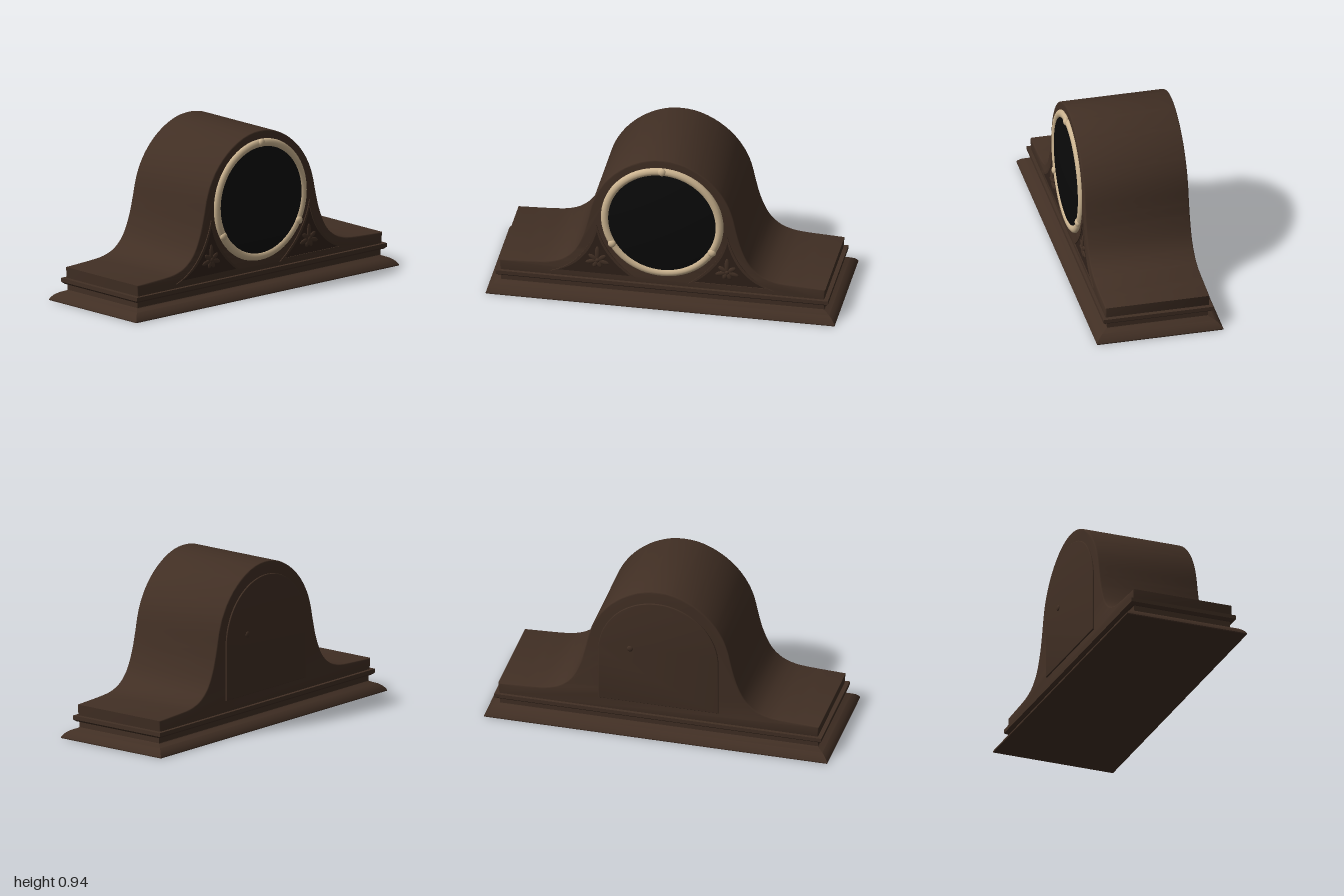
import * as THREE from 'three';
import { toCreasedNormals } from 'three/addons/utils/BufferGeometryUtils.js';

const material = (name, color) => {
  const m = new THREE.MeshStandardMaterial({ color });
  m.name = name;
  return m;
};

// Plate between two depths, with a small softened edge kept inside the outline
function plate(shape, z0, z1, bevel = 0) {
  const g = new THREE.ExtrudeGeometry(shape, {
    depth: z1 - z0 - 2 * bevel, curveSegments: 24,
    bevelEnabled: bevel > 0, bevelThickness: bevel, bevelSize: bevel, bevelOffset: -bevel, bevelSegments: 3,
  });
  g.translate(0, 0, z0 + bevel);
  return toCreasedNormals(g, 0.6);
}

// Rectangular moulding: each profile entry is [half depth, height]
function moulding(profile, extra) {
  const pos = [];
  const ring = ([d, y]) => [[1, 1], [1, -1], [-1, -1], [-1, 1]].map(([x, z]) => [x * (d + extra), y, z * d]);
  const quad = (a, b, c, d) => pos.push(...a, ...b, ...c, ...a, ...c, ...d);
  const rings = profile.map(ring);
  for (let k = 0; k < rings.length - 1; k++) {
    for (let i = 0; i < 4; i++) {
      const j = (i + 1) % 4;
      quad(rings[k][i], rings[k][j], rings[k + 1][j], rings[k + 1][i]);
    }
  }
  quad(...rings[rings.length - 1]);
  quad(...rings[0].slice().reverse());
  const g = new THREE.BufferGeometry();
  g.setAttribute('position', new THREE.Float32BufferAttribute(pos, 3));
  return toCreasedNormals(g, 0.6);
}

// Hump-shaped case outline
function caseShape() {
  const half = [[0, 0.94], [0.09, 0.929], [0.18, 0.893], [0.26, 0.838], [0.325, 0.77], [0.375, 0.69], [0.405, 0.61],
    [0.428, 0.51], [0.455, 0.41], [0.5, 0.31], [0.56, 0.248], [0.63, 0.217], [0.72, 0.204], [0.935, 0.194]];
  const pts = [...half.slice(1).reverse().map(([x, y]) => [-x, y]), ...half];
  const curve = new THREE.SplineCurve(pts.map(([x, y]) => new THREE.Vector2(x, y)));
  return new THREE.Shape([new THREE.Vector2(-0.928, 0.12), ...curve.getPoints(110), new THREE.Vector2(0.928, 0.12)]);
}

// Curved triangle beside the dial, scaled about its middle
function spandrel(s, k, Type = THREE.Shape) {
  const p = (x, y) => [s * (0.37 + (x - 0.37) * k), 0.24 + (y - 0.24) * k];
  const path = new Type();
  path.moveTo(...p(0.15, 0.155));
  path.lineTo(...p(0.64, 0.155));
  path.quadraticCurveTo(...p(0.44, 0.225), ...p(0.375, 0.48));
  path.quadraticCurveTo(...p(0.3375, 0.295), ...p(0.15, 0.155));
  return path;
}

export function createModel() {
  const wood = material('dark walnut', 0x412f24);
  const carved = material('shaded walnut', 0x30221a);
  const cream = material('cream bezel', 0xcdb591);
  const black = material('black dial', 0x0a0a0a);

  const model = new THREE.Group();
  model.name = 'mantelClock';
  const add = (name, geometry, mat, parent = model) => {
    const mesh = new THREE.Mesh(geometry, mat);
    mesh.name = name;
    parent.add(mesh);
    return mesh;
  };

  // Plinth and case
  add('plinth', moulding([[0.365, 0], [0.366, 0.006], [0.36, 0.017], [0.347, 0.032], [0.327, 0.046], [0.295, 0.059],
    [0.292, 0.062], [0.292, 0.096], [0.304, 0.096], [0.318, 0.108], [0.318, 0.13], [0.3, 0.131]], 0.635), wood);
  add('case', plate(caseShape(), -0.301, 0.301, 0.007), wood);

  // Dial, bezel and its three studs
  const cy = 0.54;
  const dialProfile = [];
  for (let i = 0; i <= 12; i++) {
    const r = 0.315 * (1 - i / 12);
    dialProfile.push(new THREE.Vector2(r, 0.31 + 0.03 * (1 - (r / 0.315) ** 2)));
  }
  const dial = add('dial', new THREE.LatheGeometry(dialProfile, 64), black);
  dial.rotation.x = Math.PI / 2;
  dial.position.y = cy;
  const bezel = add('bezel', new THREE.TorusGeometry(0.328, 0.024, 12, 72), cream);
  bezel.scale.z = 0.85;
  bezel.position.set(0, cy, 0.3);
  for (const a of [90, 210, 330]) {
    const t = THREE.MathUtils.degToRad(a);
    const stud = add('bezelStud', new THREE.SphereGeometry(0.024, 16, 12), cream);
    stud.position.set(0.331 * Math.cos(t), cy + 0.331 * Math.sin(t), 0.312);
    stud.scale.z = 0.7;
  }

  // Carved corner panels with a leaf spray
  for (const s of [1, -1]) {
    const panel = new THREE.Group();
    panel.name = s > 0 ? 'leftCarvedPanel' : 'rightCarvedPanel';
    model.add(panel);
    add('panelField', plate(spandrel(s, 0.9), 0.298, 0.3025), carved, panel);
    const frame = spandrel(s, 1);
    frame.holes.push(spandrel(s, 0.84, THREE.Path));
    add('panelFrame', plate(frame, 0.298, 0.307), wood, panel);
    const flower = new THREE.Group();
    flower.name = 'flower';
    flower.position.set(s * 0.372, 0.25, 0.303);
    panel.add(flower);
    for (const [deg, length] of [[0, 0.09], [55, 0.06], [-55, 0.06], [105, 0.07], [-105, 0.07], [155, 0.05], [-155, 0.05]]) {
      const a = THREE.MathUtils.degToRad(deg);
      const leaf = add('leaf', new THREE.SphereGeometry(1, 12, 8), wood, flower);
      leaf.scale.set(0.014, length / 2, 0.006);
      leaf.rotation.z = a;
      leaf.position.set(-Math.sin(a) * length / 2, Math.cos(a) * length / 2, 0);
    }
    add('flowerHeart', new THREE.SphereGeometry(0.014, 12, 8), wood, flower).scale.z = 0.6;
  }

  // Arched rear door with its knob
  const door = new THREE.Shape();
  door.moveTo(-0.35, 0.197);
  door.lineTo(0.35, 0.197);
  door.lineTo(0.35, 0.515);
  door.absarc(0, 0.515, 0.35, 0, Math.PI);
  door.closePath();
  add('rearDoor', plate(door, -0.309, -0.295, 0.003), wood);
  const knob = add('doorKnob', new THREE.SphereGeometry(0.018, 16, 12), wood);
  knob.position.set(0.165, 0.548, -0.308);
  knob.scale.z = 0.45;

  return model;
}
